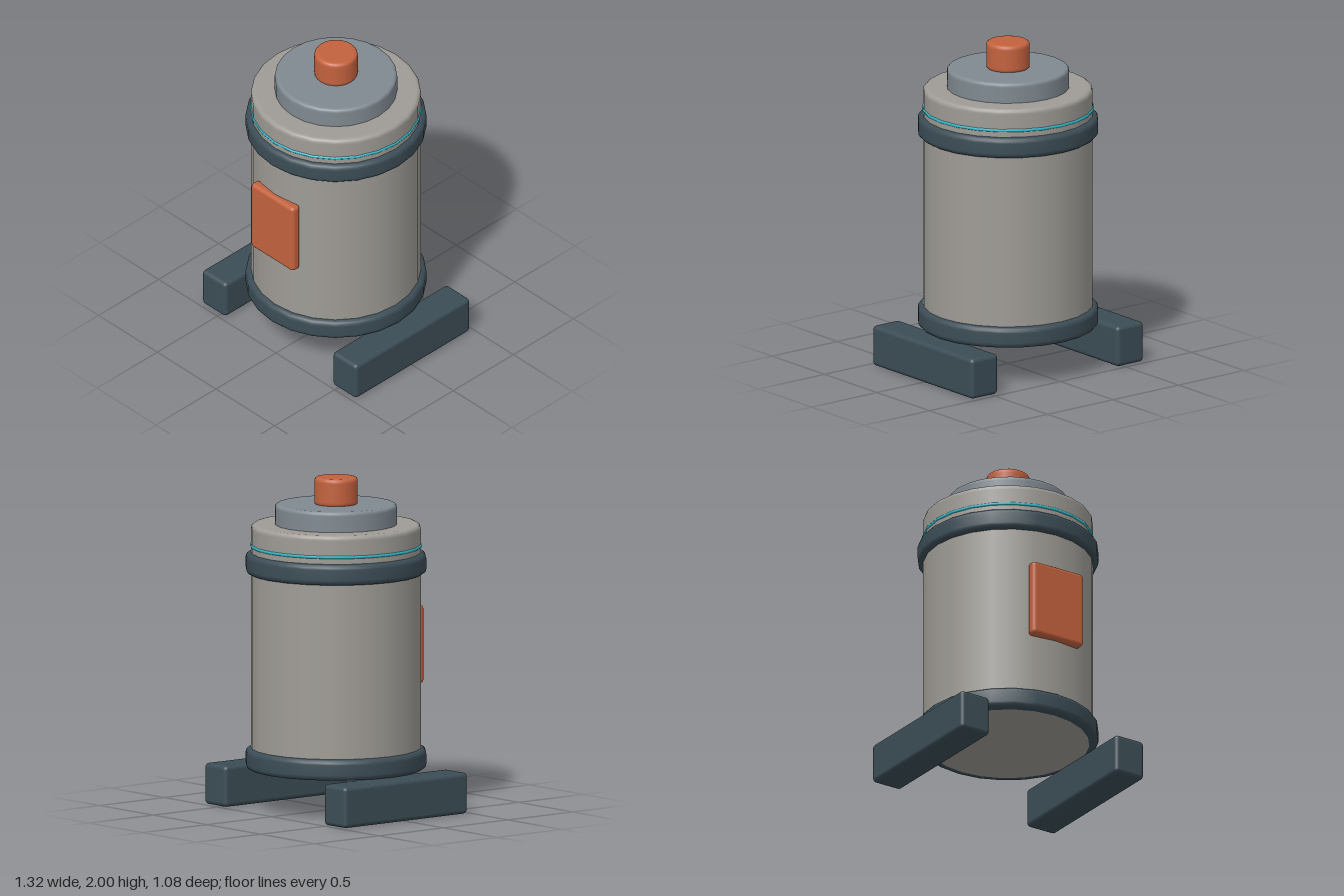
import * as THREE from 'three';
import { RoundedBoxGeometry } from 'three/addons/geometries/RoundedBoxGeometry.js';

const SIDES = 24;

const makeMaterial = (name, color) => {
  const m = new THREE.MeshStandardMaterial({ color });
  m.name = name;
  return m;
};

// Solid disc with rounded rims, from y0 to y1; support loops keep the flats flat.
function roundedDisc(radius, y0, y1, bevel) {
  const pts = [[0, y0], [radius - bevel - 0.008, y0]];
  const arc = (cy, from) => {
    for (let i = 0; i <= 4; i++) {
      const a = from + (i / 4) * Math.PI / 2;
      pts.push([radius - bevel + Math.cos(a) * bevel, cy + Math.sin(a) * bevel]);
    }
  };
  arc(y0 + bevel, -Math.PI / 2);
  pts.push([radius, y0 + bevel + 0.008], [radius, y1 - bevel - 0.008]);
  arc(y1 - bevel, 0);
  pts.push([radius - bevel - 0.008, y1], [0, y1]);
  return new THREE.LatheGeometry(pts.map(([x, y]) => new THREE.Vector2(x, y)), SIDES);
}

// Hoop with rounded outer rims, open on the inside where it grips the body.
function hoop(inner, outer, y0, y1, bevel) {
  const pts = [[inner, y0], [outer - bevel - 0.004, y0]];
  for (const [cy, from] of [[y0 + bevel, -Math.PI / 2], [y1 - bevel, 0]]) {
    for (let i = 0; i <= 4; i++) {
      const a = from + (i / 4) * Math.PI / 2;
      pts.push([outer - bevel + Math.cos(a) * bevel, cy + Math.sin(a) * bevel]);
    }
  }
  pts.push([outer - bevel - 0.004, y1], [inner, y1]);
  return new THREE.LatheGeometry(pts.map(([x, y]) => new THREE.Vector2(x, y)), SIDES);
}

export function createModel() {
  const model = new THREE.Group();
  model.name = 'canister';

  const shell = makeMaterial('warm grey shell', 0x9f9c96);
  const steel = makeMaterial('blue grey steel', 0x808a91);
  const dark = makeMaterial('dark slate', 0x3c4d56);
  const orange = makeMaterial('burnt orange', 0xc3623e);
  const cyan = makeMaterial('cyan glow', 0x2fbccd);

  const add = (name, geometry, material) => {
    const mesh = new THREE.Mesh(geometry, material);
    mesh.name = name;
    model.add(mesh);
    return mesh;
  };

  // Stacked round parts
  add('body', roundedDisc(0.507, 0.246, 1.717, 0.025), shell);
  add('lid', roundedDisc(0.365, 1.69, 1.838, 0.02), steel);
  add('knob', roundedDisc(0.13, 1.83, 2, 0.022), orange);

  // Hoops around the body
  add('lowerHoop', hoop(0.485, 0.54, 0.245, 0.372, 0.032), dark);
  add('upperHoop', hoop(0.485, 0.54, 1.42, 1.547, 0.032), dark);

  // Thin band just below the rim
  const band = add('glowBand', new THREE.TorusGeometry(0.504, 0.01, 8, SIDES), cyan);
  band.rotation.x = Math.PI / 2;
  band.position.y = 1.588;

  // Front panel
  add('frontPanel', new RoundedBoxGeometry(0.364, 0.474, 0.068, 3, 0.024), orange)
    .position.set(0, 0.962, 0.504);

  // Skids, one on each side
  for (const [side, name] of [[1, 'leftSkid'], [-1, 'rightSkid']]) {
    add(name, new RoundedBoxGeometry(0.204, 0.247, 0.955, 3, 0.025), dark)
      .position.set(side * 0.556, 0.1235, 0);
  }

  return model;
}
